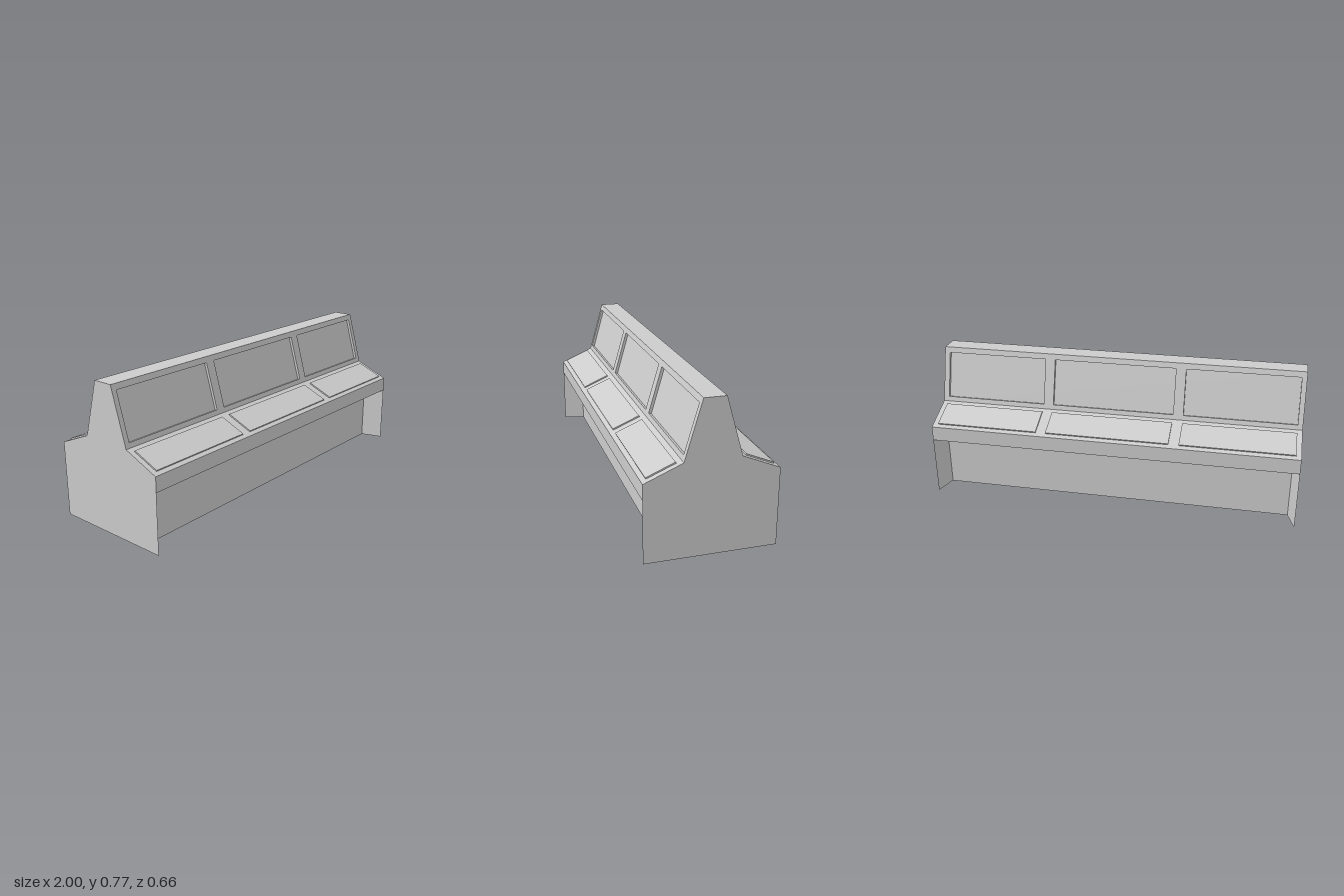
import * as THREE from 'three';

const grey = new THREE.MeshStandardMaterial({ color: 0xcccccc });
const thin = new THREE.MeshStandardMaterial({ color: 0xcccccc, side: THREE.DoubleSide });

// Shared key points of the end profile (z, y)
const LIP = [0.33, 0.40], KNEE = [0.14, 0.48], CREST = [0.055, 0.775];
const KNEE_LINE = 0.32;   // underside of the desk overhang
const RECESS = 0.015;     // screen depth behind its frame
const BAYS = [[-0.973, -0.37], [-0.315, 0.355], [0.41, 0.97]];

function add(parent, name, geometry, material = grey) {
  const mesh = new THREE.Mesh(geometry, material);
  mesh.name = name;
  parent.add(mesh);
  return mesh;
}

function rectPath(x0, y0, x1, y1, Type = THREE.Shape) {
  return new Type([[x0, y0], [x1, y0], [x1, y1], [x0, y1]].map(p => new THREE.Vector2(...p)));
}

const extrude = (shape, depth) => new THREE.ExtrudeGeometry(shape, { depth, bevelEnabled: false });

// Group lying on a sloped face: local y runs up the slope, local z points outward
function slopeGroup(parent, name, low, high) {
  const group = new THREE.Group();
  group.name = name;
  group.position.set(0, low[1], low[0]);
  group.rotation.x = -Math.atan2(low[0] - high[0], high[1] - low[1]);
  parent.add(group);
  return group;
}

// One operator side: framed screens above, raised control panels below
function operatorSide(name, bays) {
  const side = new THREE.Group();
  side.name = name;

  const upper = slopeGroup(side, 'screenBank', KNEE, CREST);
  const rise = Math.hypot(KNEE[0] - CREST[0], CREST[1] - KNEE[1]);
  const frame = rectPath(-1, 0, 1, rise);
  for (const [a, b] of bays) frame.holes.push(rectPath(a, 0.026, b, 0.276, THREE.Path));
  add(upper, 'screenFrame', extrude(frame, RECESS)).position.z = -RECESS;

  const lower = slopeGroup(side, 'controlDesk', LIP, KNEE);
  for (const [a, b] of bays) {
    add(lower, 'controlPanel', extrude(rectPath(a, 0.025, b, 0.178), 0.012)).position.z = -0.005;
  }

  // Recessed knee wall under the desk
  add(side, 'kneeWall', new THREE.PlaneGeometry(1.93, KNEE_LINE), thin)
    .position.set(0, KNEE_LINE / 2, 0.21);
  return side;
}

export function createModel() {
  const model = new THREE.Group();
  model.name = 'doubleSidedConsole';

  // Solid upper body, notched on both slopes so the screen frames fit flush
  const len = Math.hypot(KNEE[0] - CREST[0], CREST[1] - KNEE[1]);
  const nz = RECESS * (CREST[1] - KNEE[1]) / len, ny = RECESS * (KNEE[0] - CREST[0]) / len;
  const inset = ([z, y]) => [z - nz, y - ny];
  const half = [[LIP[0], KNEE_LINE], LIP, KNEE, inset(KNEE), inset(CREST), CREST];
  const outline = [...half, ...half.map(([z, y]) => [-z, y]).reverse()];
  const body = extrude(new THREE.Shape(outline.map(p => new THREE.Vector2(...p))), 2);
  body.rotateY(Math.PI / 2).translate(-1, 0, 0);
  add(model, 'consoleBody', body);

  // End panels taper to a sharp edge at front and back
  for (const s of [-1, 1]) {
    const plan = new THREE.Shape([[1, -0.33], [1, 0.33], [0.965, 0.21], [0.965, -0.21]]
      .map(([x, z]) => new THREE.Vector2(s * x, z)));
    const panel = extrude(plan, KNEE_LINE);
    panel.rotateX(-Math.PI / 2);
    add(model, s > 0 ? 'leftEndPanel' : 'rightEndPanel', panel);
  }

  // Front side, and a back side with the same bay spacing
  model.add(operatorSide('frontSide', BAYS));
  const back = operatorSide('backSide', BAYS.map(([a, b]) => [-b, -a]));
  back.rotation.y = Math.PI;
  model.add(back);
  return model;
}
